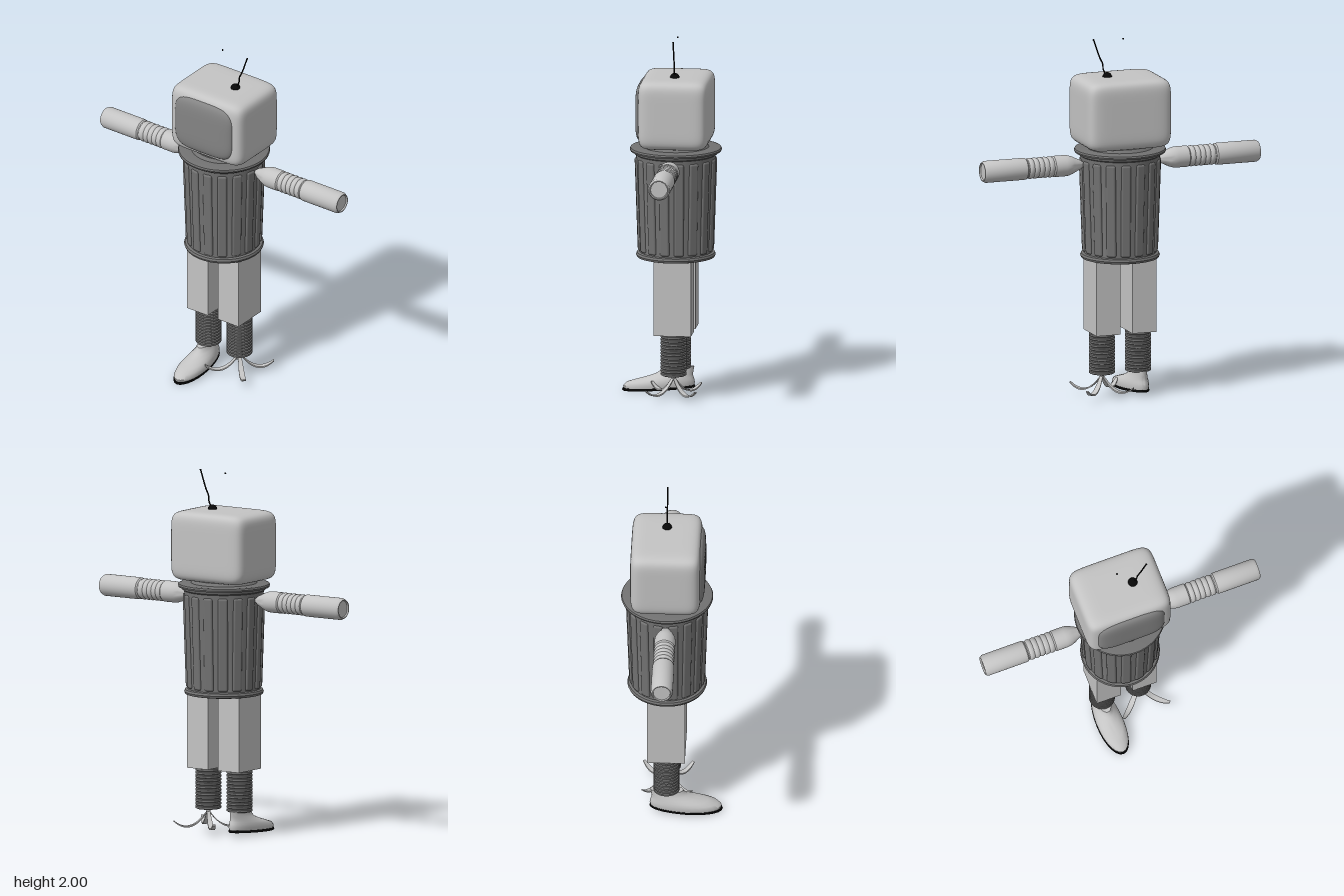
import * as THREE from 'three';
import { toCreasedNormals, mergeVertices } from 'three/addons/utils/BufferGeometryUtils.js';
import { RoundedBoxGeometry } from 'three/addons/geometries/RoundedBoxGeometry.js';

const CZ = -0.027; // depth of the body axis

const material = (name, color) => {
  const m = new THREE.MeshStandardMaterial({ color });
  m.name = name;
  return m;
};

// Turned part from [radius, height] pairs, listed upwards
const lathe = (pairs, segments = 32) =>
  toCreasedNormals(new THREE.LatheGeometry(pairs.map(([r, y]) => new THREE.Vector2(r, y)), segments), 0.6);

// Box puffed into a pillow; a higher power gives squarer corners
function pillow(w, h, d, power) {
  let g = new THREE.BoxGeometry(2, 2, 2, 24, 24, 24);
  g.deleteAttribute('uv');
  g.deleteAttribute('normal');
  g = mergeVertices(g);
  const p = g.attributes.position;
  for (let i = 0; i < p.count; i++) {
    const c = [p.getX(i), p.getY(i), p.getZ(i)];
    const n = c.reduce((s, v) => s + Math.abs(v) ** power, 0) ** (1 / power);
    p.setXYZ(i, c[0] / n * w / 2, c[1] / n * h / 2, c[2] / n * d / 2);
  }
  g.computeVertexNormals();
  return g;
}

// Stack of oval sections [y, centre z, half length, half width], dipping towards the toe
function footLoft(sections, n = 28) {
  const pos = [], index = [];
  sections.forEach(([y, zc, len, wid]) => {
    for (let i = 0; i <= n; i++) {
      const t = i / n * Math.PI * 2, z = zc + len * Math.cos(t);
      const x = wid * Math.sin(t) * (1 + 0.1 * Math.cos(t)) + 0.04 * z;
      pos.push(x, y - 0.06 * z, z);
    }
  });
  for (let j = 0; j < sections.length - 1; j++) {
    for (let i = 0; i < n; i++) {
      const a = j * (n + 1) + i, d = a + n + 1;
      index.push(a, a + 1, d, a + 1, d + 1, d);
    }
  }
  const g = new THREE.BufferGeometry();
  g.setAttribute('position', new THREE.Float32BufferAttribute(pos, 3));
  g.setIndex(index);
  return toCreasedNormals(g, 0.8);
}

export function createModel() {
  const light = material('light grey', 0xc4c4c4);
  const dark = material('dark grey', 0x727272);
  const glass = material('screen grey', 0x848484);
  const black = material('black', 0x080808);

  const model = new THREE.Group();
  const add = (name, geo, mat, x = 0, y = 0, z = 0, parent = model) => {
    const m = new THREE.Mesh(geo, mat);
    m.name = name;
    m.position.set(x, y, z);
    parent.add(m);
    return m;
  };

  // Television head
  add('head', pillow(0.485, 0.385, 0.385, 8), light, 0, 1.593, -0.031);
  add('screen', pillow(0.395, 0.325, 0.13, 4.5), glass, -0.002, 1.593, 0.118);

  // Antenna
  add('antennaBase', new THREE.SphereGeometry(0.026, 20, 12), black, 0.075, 1.784, -0.03);
  const rod = new THREE.CatmullRomCurve3([
    [0.078, 1.79], [0.098, 1.825], [0.102, 1.86], [0.117, 1.89], [0.155, 1.997],
  ].map(([x, y]) => new THREE.Vector3(x, y, -0.03)));
  add('antennaRod', new THREE.TubeGeometry(rod, 24, 0.004, 8), black);
  add('antennaTip', new THREE.SphereGeometry(0.005, 10, 8), black, 0.155, 1.995, -0.03);
  add('looseTip', new THREE.SphereGeometry(0.005, 10, 8), black, -0.015, 1.99, -0.035);

  // Dustbin body with raised panels
  const bin = new THREE.Group();
  bin.name = 'bin';
  bin.position.z = CZ;
  model.add(bin);
  add('binShell', lathe([
    [0, 0.785], [0.19, 0.785], [0.2, 0.775], [0.212, 0.778], [0.217, 0.79], [0.212, 0.802],
    [0.199, 0.806], [0.217, 1.345], [0.228, 1.352], [0.232, 1.364], [0.248, 1.366],
    [0.251, 1.375], [0.247, 1.384], [0.235, 1.387], [0.18, 1.388], [0.165, 1.404], [0, 1.41],
  ], 64), dark, 0, 0, 0, bin);
  const panel = new RoundedBoxGeometry(0.054, 0.515, 0.026, 3, 0.012);
  for (let i = 0; i < 16; i++) {
    const spoke = new THREE.Group();
    spoke.name = 'panelSpoke';
    spoke.rotation.y = (i + 0.5) / 16 * Math.PI * 2;
    bin.add(spoke);
    add('panel', panel, dark, 0, 1.07, 0.203, spoke).rotation.x = 0.034;
  }

  // Arms: shoulder, ribbed elbow, forearm with a shallow recessed end
  const arm = [[0, 0.2], [0.027, 0.235], [0.033, 0.25], [0.048, 0.28], [0.056, 0.305],
    [0.058, 0.325], [0.058, 0.388], [0.052, 0.395]];
  for (let i = 0; i < 5; i++) {
    const s = 0.397 + i * 0.029;
    arm.push([0.056, s + 0.004], [0.058, s + 0.013], [0.056, s + 0.023], [0.052, s + 0.027]);
  }
  arm.push([0.052, 0.546], [0.059, 0.553], [0.06, 0.565], [0.06, 0.785], [0.052, 0.8],
    [0.047, 0.8], [0.045, 0.792], [0, 0.792]);
  const armGeo = lathe(arm);

  // Ribbed shin
  const shin = [[0, 0.135]];
  for (let i = 0; i < 12; i++) {
    const s = 0.135 + i * 0.019;
    shin.push([0.064, s], [0.071, s + 0.004], [0.071, s + 0.014], [0.064, s + 0.018]);
  }
  shin.push([0, 0.365]);
  const shinGeo = lathe(shin);
  const thighGeo = new THREE.BoxGeometry(0.14, 0.415, 0.205);

  for (const side of [1, -1]) {
    const name = side > 0 ? 'left' : 'right';
    add(name + 'Arm', armGeo, light, 0, 1.307, CZ).rotation.z = -side * Math.PI / 2;
    add(name + 'Thigh', thighGeo, light, side * 0.104, 0.572, CZ);
    add(name + 'Shin', shinGeo, dark, side * 0.105, 0, CZ);
  }

  // Right shoe
  add('shoe', footLoft([
    [0.032, 0.078, 0, 0], [0.032, 0.078, 0.192, 0.07], [0.048, 0.078, 0.196, 0.073],
    [0.066, 0.07, 0.185, 0.07], [0.079, 0.045, 0.155, 0.063], [0.093, 0.015, 0.122, 0.053],
    [0.108, -0.01, 0.1, 0.044], [0.122, -0.02, 0.092, 0.039], [0.137, -0.025, 0.09, 0.037],
    [0.137, -0.025, 0, 0],
  ]), light, -0.107);
  add('sole', footLoft([
    [0.02, 0.08, 0, 0], [0.02, 0.08, 0.196, 0.07], [0.026, 0.08, 0.2, 0.074],
    [0.034, 0.08, 0.197, 0.073], [0.034, 0.08, 0, 0],
  ]), black, -0.107);

  // Left claw foot: four curled prongs
  const prong = new THREE.BoxGeometry(1, 0.008, 0.03, 16, 1, 1);
  const p = prong.attributes.position;
  for (let i = 0; i < p.count; i++) {
    const u = p.getX(i) + 0.5;
    p.setXYZ(i, 0.19 * u, p.getY(i) + 0.128 - 0.29 * u + 0.23 * u * u, p.getZ(i) * (1 - 0.5 * (2 * u - 1) ** 2));
  }
  const prongGeo = toCreasedNormals(prong, 0.6);
  const claw = new THREE.Group();
  claw.name = 'clawFoot';
  claw.position.set(0.105, 0, CZ);
  model.add(claw);
  add('clawStem', new THREE.CylinderGeometry(0.014, 0.01, 0.025, 12), light, 0, 0.126, 0, claw);
  for (let i = 0; i < 4; i++) {
    add('prong', prongGeo, light, 0, 0, 0, claw).rotation.y = Math.PI / 4 + i * Math.PI / 2;
  }

  return model;
}
